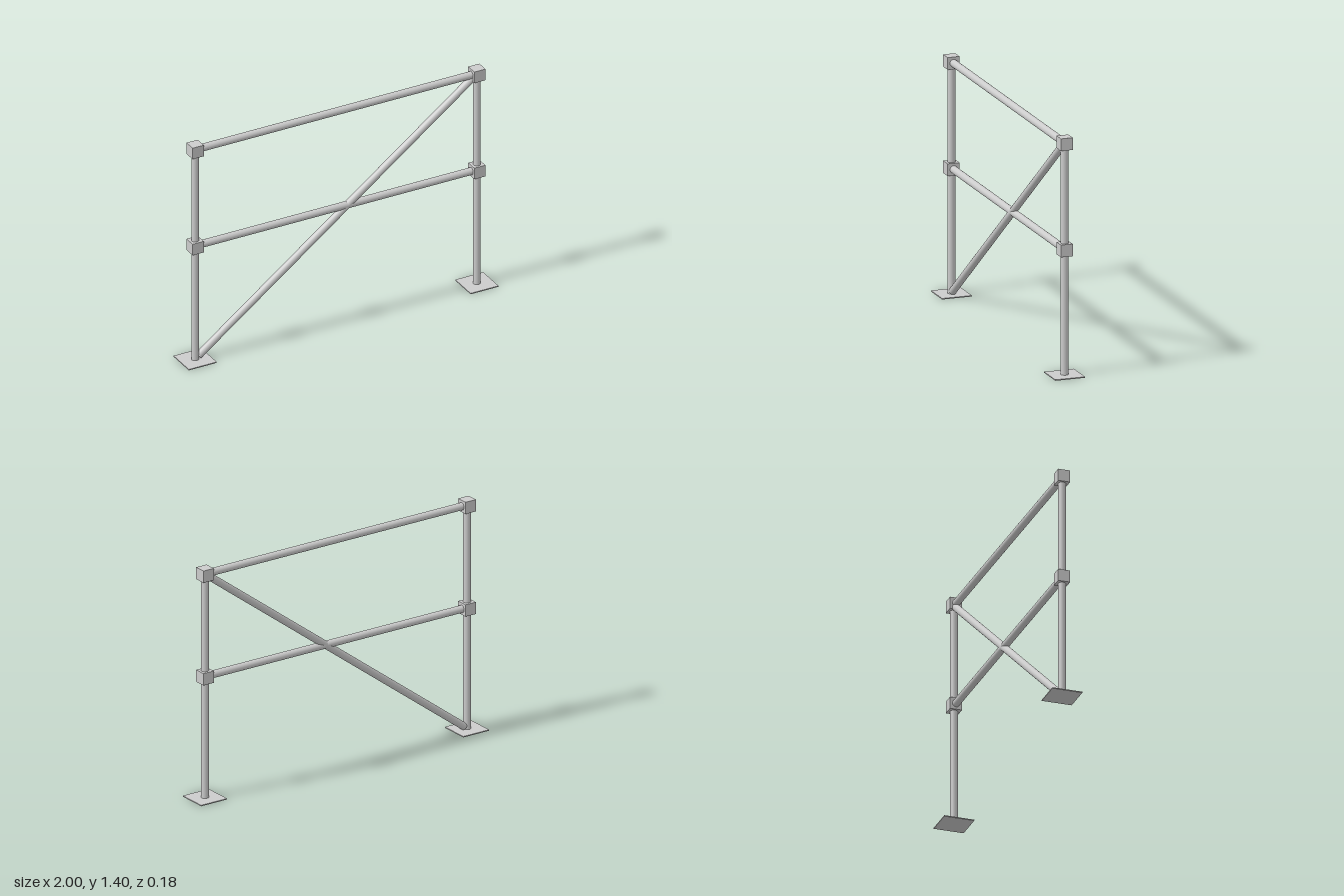
import * as THREE from 'three';

const POST_X = 0.91, TOP_Y = 1.367, MID_Y = 0.742, TUBE_R = 0.022;

export function createModel() {
  const model = new THREE.Group();
  model.name = 'guardRail';
  const material = new THREE.MeshStandardMaterial({ color: 0xcccccc });

  const add = (name, geometry, x, y) => {
    const mesh = new THREE.Mesh(geometry, material);
    mesh.name = name;
    mesh.position.set(x, y, 0);
    model.add(mesh);
    return mesh;
  };

  // Round tube between two points in the plane of the frame
  const tube = (name, x1, y1, x2, y2) => {
    const dx = x2 - x1, dy = y2 - y1;
    const geometry = new THREE.CylinderGeometry(TUBE_R, TUBE_R, Math.hypot(dx, dy), 32);
    add(name, geometry, (x1 + x2) / 2, (y1 + y2) / 2).rotation.z = Math.atan2(-dx, dy);
  };

  // Posts with base plates and cube couplers
  for (const [side, s] of [['left', 1], ['right', -1]]) {
    const x = s * POST_X;
    add(side + 'BasePlate', new THREE.BoxGeometry(0.18, 0.006, 0.18), x, 0.003);
    tube(side + 'Post', x, 0.003, x, TOP_Y);
    add(side + 'TopCoupler', new THREE.BoxGeometry(0.072, 0.072, 0.072), x, TOP_Y);
    add(side + 'MiddleCoupler', new THREE.BoxGeometry(0.072, 0.072, 0.072), x, MID_Y);
  }

  // Horizontal rails
  tube('topRail', -POST_X, TOP_Y, POST_X, TOP_Y);
  tube('middleRail', -POST_X, MID_Y, POST_X, MID_Y);

  // Diagonal brace from the right foot to the left top coupler
  tube('diagonalBrace', -0.89, 0.022, POST_X, TOP_Y);

  return model;
}
